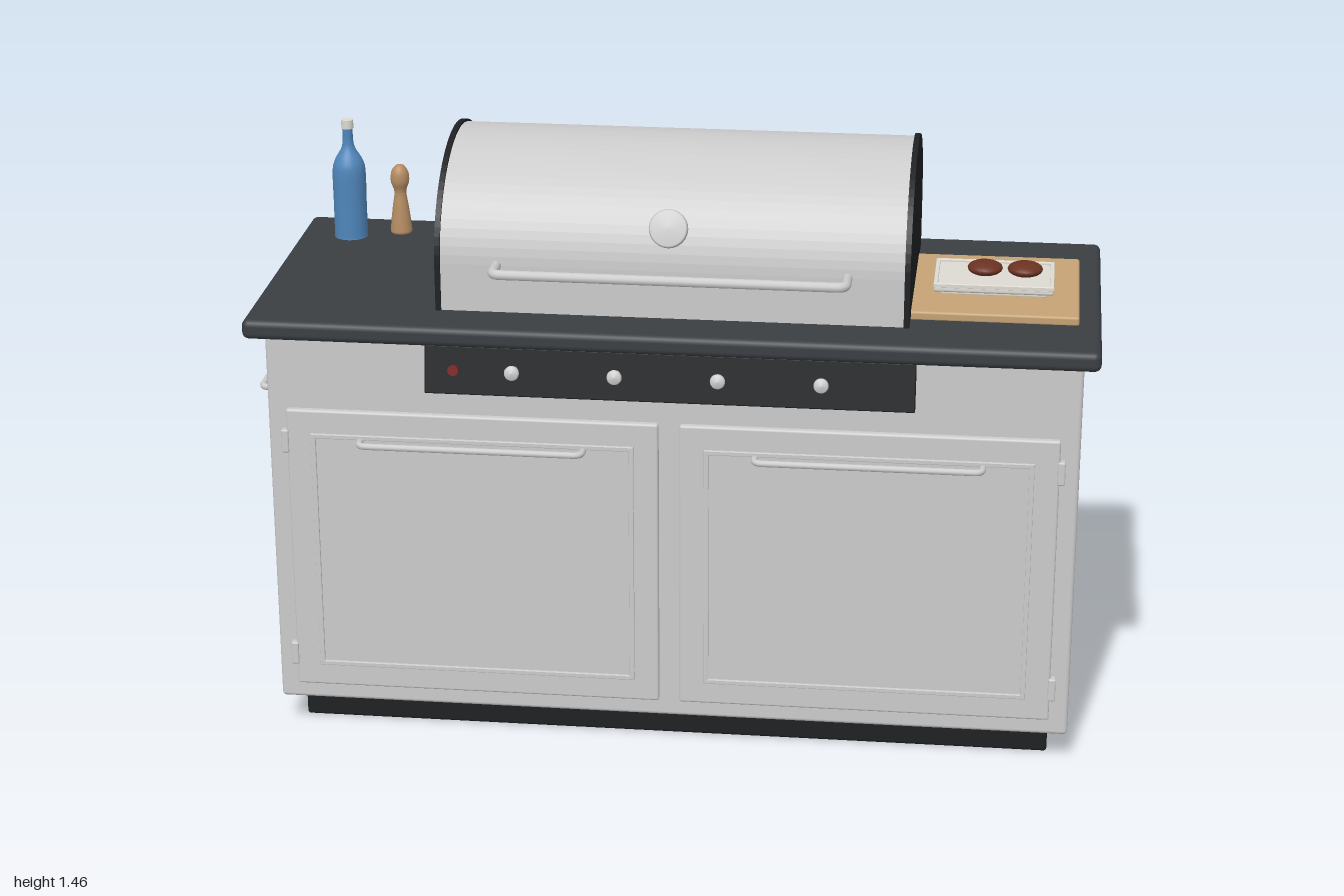
import * as THREE from 'three';
import { RoundedBoxGeometry } from 'three/addons/geometries/RoundedBoxGeometry.js';

const material = (color, extra = {}) => new THREE.MeshStandardMaterial({ color, ...extra });
const steel = material(0xcccccc);
const lidSteel = material(0xcccccc, { flatShading: true });
const stone = material(0x3a3e42);
const black = material(0x1e2023);
const wood = material(0xc4a274);
const millWood = material(0xb48c62);
const china = material(0xdcdad2);
const glass = material(0x4f86bb);
const meat = material(0x6b3222);
const red = material(0x7a1c1c);

function add(parent, name, geometry, mat, x = 0, y = 0, z = 0) {
  const mesh = new THREE.Mesh(geometry, mat);
  mesh.name = name;
  mesh.position.set(x, y, z);
  parent.add(mesh);
  return mesh;
}

// Rounded box given by its lower and upper bounds
function box(parent, name, mat, [x0, x1], [y0, y1], [z0, z1], r = 0.008) {
  const g = new RoundedBoxGeometry(x1 - x0, y1 - y0, z1 - z0, 3, r);
  return add(parent, name, g, mat, (x0 + x1) / 2, (y0 + y1) / 2, (z0 + z1) / 2);
}

// U-shaped bar along x, its feet at z = 0 and its grip at z = depth
function barHandle(parent, name, length, depth, r, x, y, z) {
  const h = length / 2 - r, c = Math.min(0.02, depth * 0.6);
  const v = (px, pz) => new THREE.Vector3(px, 0, pz);
  const path = new THREE.CurvePath();
  path.add(new THREE.LineCurve3(v(-h, 0), v(-h, depth - c)));
  path.add(new THREE.QuadraticBezierCurve3(v(-h, depth - c), v(-h, depth), v(-h + c, depth)));
  path.add(new THREE.LineCurve3(v(-h + c, depth), v(h - c, depth)));
  path.add(new THREE.QuadraticBezierCurve3(v(h - c, depth), v(h, depth), v(h, depth - c)));
  path.add(new THREE.LineCurve3(v(h, depth - c), v(h, 0)));
  return add(parent, name, new THREE.TubeGeometry(path, 160, r, 10), steel, x, y, z);
}

function lathe(points, segments = 24) {
  return new THREE.LatheGeometry(points.map(([r, y]) => new THREE.Vector2(r, y)), segments);
}

// Smooth turned body, sampled from a curve through a few points
function turned(points, segments = 24) {
  const curve = new THREE.SplineCurve(points.map(([r, y]) => new THREE.Vector2(r, y)));
  return lathe(curve.getPoints(40).map(p => [Math.max(p.x, 0), p.y]), segments);
}

// Rectangular frame with an open middle
function frame(w, h, border, depth) {
  const rect = (s, a, b) => s.moveTo(-a, -b).lineTo(a, -b).lineTo(a, b).lineTo(-a, b).closePath();
  const shape = new THREE.Shape(), hole = new THREE.Path();
  rect(shape, w / 2, h / 2);
  rect(hole, w / 2 - border, h / 2 - border);
  shape.holes.push(hole);
  const b = 0.002;
  return new THREE.ExtrudeGeometry(shape, {
    depth: depth - b, bevelEnabled: true, bevelSize: b, bevelThickness: b, bevelOffset: -b, bevelSegments: 2,
  });
}

// Arched side profile of the lid, swept along x
function arch(halfDepth, top, from, to) {
  const base = 1.095, spring = 1.21;
  const s = new THREE.Shape();
  s.moveTo(-halfDepth, base);
  s.lineTo(halfDepth, base);
  s.lineTo(halfDepth, spring);
  s.absellipse(0, spring, halfDepth, top - spring, 0, Math.PI, false, 0);
  s.lineTo(-halfDepth, base);
  const g = new THREE.ExtrudeGeometry(s, { depth: to - from, bevelEnabled: false, curveSegments: 18 });
  return g.translate(0, 0, from).rotateY(Math.PI / 2).translate(0, 0, -0.015);
}

function door(side) {
  const g = new THREE.Group();
  g.name = side < 0 ? 'rightDoor' : 'leftDoor';
  const x = side * 0.471;
  box(g, 'doorSlab', steel, [x - 0.446, x + 0.446], [0.123, 0.846], [0.316, 0.338], 0.006);
  add(g, 'doorTrim', frame(0.775, 0.61, 0.012, 0.007), steel, x, 0.483, 0.336);
  barHandle(g, 'doorHandle', 0.55, 0.033, 0.008, x, 0.773, 0.338);
  for (const y of [0.205, 0.765]) {
    box(g, 'hinge', steel, [side * 0.921 - 0.009, side * 0.921 + 0.009], [y - 0.029, y + 0.029], [0.32, 0.342], 0.004);
  }
  return g;
}

function controlPanel() {
  const g = new THREE.Group();
  g.name = 'controlPanel';
  box(g, 'panelPlate', black, [-0.577, 0.577], [-0.058, 0.058], [-0.009, 0.009], 0.003);
  const knob = lathe([[0, 0], [0.013, 0], [0.013, 0.006], [0.007, 0.009], [0.007, 0.018],
    [0.016, 0.021], [0.018, 0.026], [0.015, 0.033], [0, 0.036]], 20).rotateX(Math.PI / 2);
  for (const x of [-0.366, -0.124, 0.118, 0.359]) add(g, 'knob', knob, steel, x, 0.002, 0.008);
  const button = new THREE.CylinderGeometry(0.013, 0.013, 0.012, 20).rotateX(Math.PI / 2);
  add(g, 'igniterButton', button, red, -0.508, 0, 0.012);
  g.position.set(0, 0.964, 0.334);
  g.rotation.x = -0.19;
  return g;
}

function lid() {
  const g = new THREE.Group();
  g.name = 'lid';
  add(g, 'lidShell', arch(0.303, 1.45, -0.545, 0.545), lidSteel);
  add(g, 'lidEndRight', arch(0.308, 1.456, -0.556, -0.543), black);
  add(g, 'lidEndLeft', arch(0.308, 1.456, 0.543, 0.556), black);
  box(g, 'grillBase', black, [-0.52, 0.52], [1.08, 1.1], [-0.29, 0.26], 0.004);
  barHandle(g, 'lidHandle', 0.845, 0.075, 0.012, 0, 1.21, 0.278);
  // Thermometer, leaning back with the lid
  const gauge = lathe([[0, -0.012], [0.042, -0.012], [0.045, -0.008], [0.045, 0.006], [0.041, 0.011], [0, 0.014]], 24);
  add(g, 'thermometer', gauge, steel, 0, 1.33, 0.33).rotation.x = Math.PI / 2 - 0.39;
  return g;
}

function serving() {
  const g = new THREE.Group();
  g.name = 'servingBoard';
  box(g, 'cuttingBoard', wood, [0.545, 0.948], [1.085, 1.108], [-0.212, 0.212], 0.006);
  box(g, 'plateFoot', china, [0.62, 0.87], [1.106, 1.122], [-0.08, 0.08], 0.004);
  box(g, 'plate', china, [0.603, 0.887], [1.116, 1.132], [-0.094, 0.094], 0.006);
  const rim = frame(0.284, 0.188, 0.01, 0.01).rotateX(-Math.PI / 2);
  add(g, 'plateRim', rim, china, 0.745, 1.128, 0);
  for (const x of [0.722, 0.817]) {
    add(g, 'patty', new THREE.SphereGeometry(0.042, 20, 12).scale(1, 0.4, 1), meat, x, 1.15, 0);
  }
  return g;
}

function condiments() {
  const g = new THREE.Group();
  g.name = 'condiments';
  const bottle = turned([[0, 0], [0.038, 0.001], [0.041, 0.01], [0.041, 0.09], [0.041, 0.17],
    [0.034, 0.2], [0.018, 0.228], [0.013, 0.25], [0.013, 0.285]]);
  add(g, 'bottle', bottle, glass, -0.87, 1.087, -0.25);
  add(g, 'bottleCap', new THREE.CylinderGeometry(0.015, 0.015, 0.022, 20), china, -0.87, 1.379, -0.25);
  const mill = turned([[0, 0], [0.025, 0.001], [0.026, 0.02], [0.02, 0.07], [0.015, 0.108],
    [0.023, 0.135], [0.021, 0.16], [0.01, 0.176], [0, 0.178]]);
  add(g, 'pepperMill', mill, millWood, -0.75, 1.087, -0.29);
  return g;
}

export function createModel() {
  const model = new THREE.Group();
  model.name = 'grillIsland';

  // Cabinet
  box(model, 'plinth', black, [-0.916, 0.916], [0, 0.082], [-0.342, 0.262]);
  box(model, 'cabinet', steel, [-0.963, 0.963], [0.078, 1.045], [-0.375, 0.323], 0.01);
  box(model, 'counter', stone, [-1, 1], [1.04, 1.088], [-0.396, 0.396], 0.016);
  model.add(door(-1), door(1), controlPanel());

  // Towel bar on the right side
  const rail = barHandle(model, 'towelBar', 0.53, 0.028, 0.008, -0.963, 0.87, 0);
  rail.rotation.y = -Math.PI / 2;

  // Cooking and serving
  model.add(lid(), serving(), condiments());
  return model;
}
